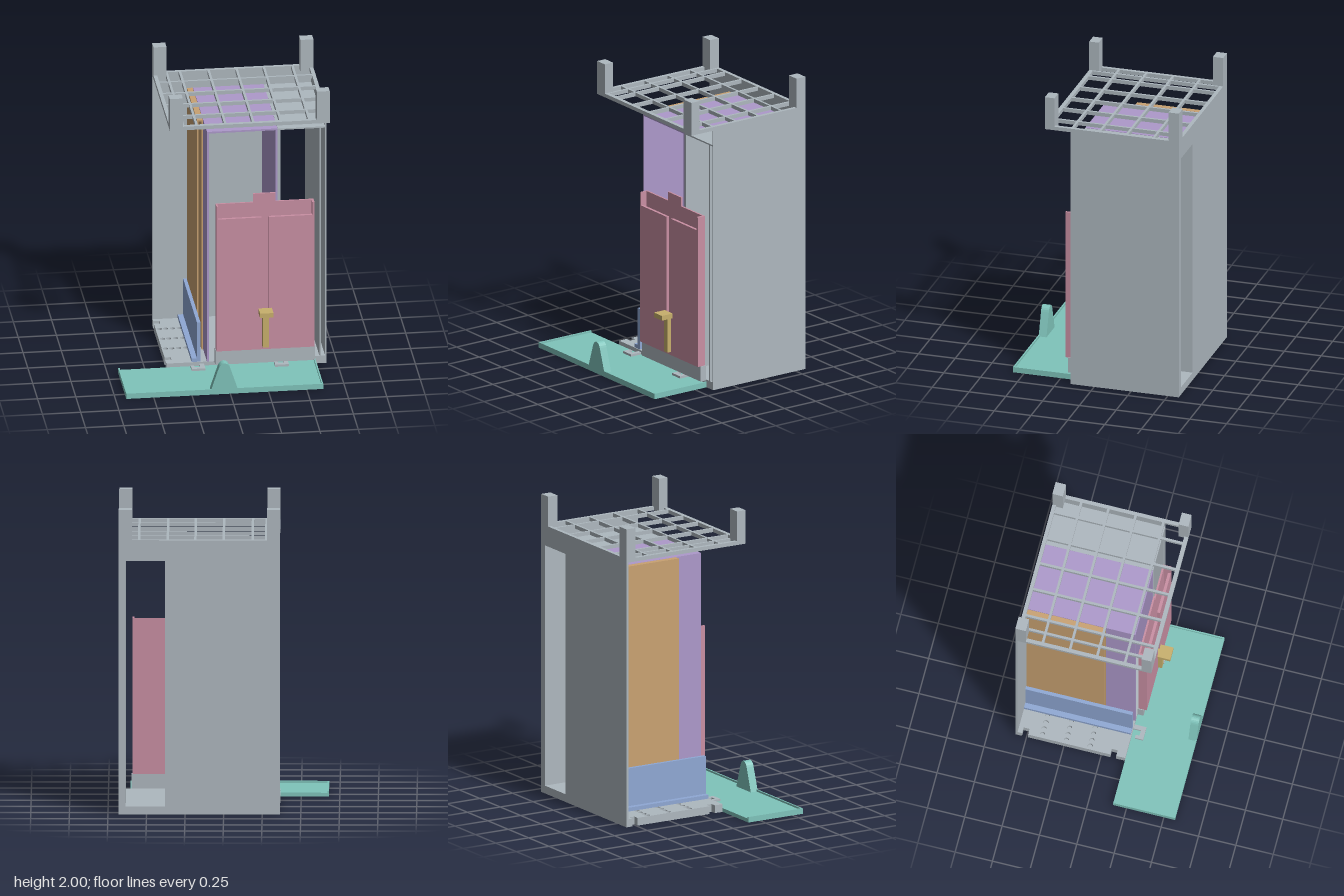
import * as THREE from 'three';

const mat = (name, color) => {
  const m = new THREE.MeshStandardMaterial({ color });
  m.name = name;
  return m;
};

export function createModel() {
  const grey = mat('grey', 0xaeb8bf), pink = mat('pink', 0xc98fa3), teal = mat('teal', 0x7fc4bb),
    purple = mat('purple', 0xad99cb), orange = mat('orange', 0xc9a272),
    blue = mat('blue', 0x8fa8d4), yellow = mat('yellow', 0xc8b06c);
  const model = new THREE.Group();
  model.name = 'cabinet';

  const group = (name) => {
    const g = new THREE.Group();
    g.name = name;
    model.add(g);
    return g;
  };
  // Box given by its extents on each axis
  const box = (parent, name, m, [x0, x1], [y0, y1], [z0, z1]) => {
    const mesh = new THREE.Mesh(new THREE.BoxGeometry(x1 - x0, y1 - y0, z1 - z0), m);
    mesh.position.set((x0 + x1) / 2, (y0 + y1) / 2, (z0 + z1) / 2);
    mesh.name = name;
    parent.add(mesh);
    return mesh;
  };
  const polygon = (pts) => new THREE.Shape(pts.map(([x, y]) => new THREE.Vector2(x, y)));
  // Upright extrusion of a shape in the front plane
  const extrude = (parent, name, m, shape, z0, z1) => {
    const geo = new THREE.ExtrudeGeometry(shape, { depth: z1 - z0, bevelEnabled: false, curveSegments: 10 });
    const mesh = new THREE.Mesh(geo, m);
    mesh.position.z = z0;
    mesh.name = name;
    parent.add(mesh);
    return mesh;
  };
  // Flat extrusion: shape coordinates are (x, -z), raised from y0 to y1
  const slab = (parent, name, m, shape, y0, y1) => {
    const mesh = extrude(parent, name, m, shape, 0, y1 - y0);
    mesh.rotation.x = -Math.PI / 2;
    mesh.position.set(0, y0, 0);
    return mesh;
  };

  // Floor with edge notches and blind peg holes
  const floor = group('floor');
  const outline = () => polygon([
    [-0.365, -0.16], [0.68, -0.16], [0.68, 0.575], [-0.365, 0.575],
    [-0.365, 0.53], [-0.325, 0.53], [-0.325, 0.49], [-0.365, 0.49],
    [-0.365, -0.06], [-0.325, -0.06], [-0.325, -0.1], [-0.365, -0.1],
  ]);
  slab(floor, 'floorBase', grey, outline(), 0, 0.03);
  const top = outline();
  for (const z of [-0.4, -0.24, -0.08]) {
    for (const x of [-0.34, -0.3, -0.255, -0.21]) {
      const hole = new THREE.Path();
      hole.absarc(x, -z, 0.017, 0, Math.PI * 2, true);
      top.holes.push(hole);
    }
  }
  slab(floor, 'floorTop', grey, top, 0.03, 0.052);

  // Hooks joining the floor to the tray
  for (const x of [-0.21, 0.335]) {
    const hook = polygon([
      [x, -0.24], [x + 0.09, -0.24], [x + 0.09, -0.16], [x + 0.06, -0.16],
      [x + 0.06, -0.21], [x + 0.022, -0.21], [x + 0.022, -0.185], [x, -0.185],
    ]);
    slab(floor, 'floorHook', grey, hook, -0.0, 0.04);
  }

  // Back wall with a tall slot, and the outer side wall
  const shell = group('shell');
  const back = polygon([[-0.365, 0.05], [0.68, 0.05], [0.68, 1.8], [-0.365, 1.8]]);
  back.holes.push(polygon([[0.38, 0.052], [0.38, 1.665], [0.635, 1.665], [0.635, 0.052]]));
  extrude(shell, 'backWall', grey, back, -0.575, -0.56);
  box(shell, 'sideWall', grey, [0.672, 0.68], [0.05, 1.8], [-0.575, 0.16]);

  // Tunnel behind the slot
  box(shell, 'tunnelInnerWall', grey, [0.362, 0.38], [0.05, 1.675], [-0.56, 0.16]);
  box(shell, 'tunnelOuterWall', grey, [0.635, 0.645], [0.05, 1.675], [-0.56, 0.16]);
  box(shell, 'tunnelCeiling', grey, [0.38, 0.672], [1.665, 1.675], [-0.56, 0.16]);

  // Upside-down U channels
  const channel = (name, m, x0, x1, z1, t) => {
    const shape = polygon([
      [x0, 0.052], [x0 + t, 0.052], [x0 + t, 1.677 - t], [x1 - t, 1.677 - t],
      [x1 - t, 0.052], [x1, 0.052], [x1, 1.677], [x0, 1.677],
    ]);
    extrude(model, name, m, shape, -0.56, z1);
  };
  channel('wideChannel', purple, -0.1, 0.361, 0.16, 0.012);
  channel('narrowChannel', orange, -0.14, -0.102, -0.035, 0.009);

  // Angle guide
  extrude(model, 'angleGuide', blue, polygon([
    [-0.2, 0.052], [-0.142, 0.052], [-0.142, 0.33], [-0.165, 0.33], [-0.165, 0.077], [-0.2, 0.077],
  ]), -0.56, 0.155);

  // Roof grid and corner posts
  const roof = group('roof');
  const X = [-0.365, 0.68], Z = [-0.575, 0.335], Y = [1.775, 1.8];
  for (const [a, b] of [[-0.365, -0.34], [0.655, 0.68]]) box(roof, 'roofEdge', grey, [a, b], Y, Z);
  for (const [a, b] of [[-0.575, -0.55], [0.308, 0.335]]) box(roof, 'roofEdge', grey, X, Y, [a, b]);
  for (const x of [-0.275, -0.187, 0, 0.183, 0.362, 0.548]) {
    box(roof, 'roofBar', grey, [x - 0.008, x + 0.008], Y, Z);
  }
  for (const z of [-0.397, -0.215, -0.033, 0.153]) {
    box(roof, 'roofCrossBar', grey, X, Y, [z - 0.008, z + 0.008]);
  }
  for (const x of [[-0.365, -0.28], [0.595, 0.68]]) {
    for (const z of [[-0.575, -0.505], [0.27, 0.335]]) box(roof, 'cornerPost', grey, x, [1.775, 2], z);
  }

  // Hollow door, open at the top with a T-shaped recess in front
  const door = group('door');
  box(door, 'doorSill', grey, [-0.05, 0.6], [0.045, 0.147], [0.16, 0.202]);
  extrude(door, 'doorBack', pink, polygon([
    [-0.045, 0.147], [0.595, 0.147], [0.595, 1.17], [0.345, 1.17],
    [0.345, 1.23], [0.2, 1.23], [0.2, 1.17], [-0.045, 1.17],
  ]), 0.165, 0.177);
  box(door, 'doorSide', pink, [-0.045, -0.035], [0.147, 1.17], [0.177, 0.222]);
  box(door, 'doorSide', pink, [0.58, 0.595], [0.147, 1.17], [0.177, 0.222]);
  box(door, 'doorBottom', pink, [-0.035, 0.58], [0.147, 0.167], [0.177, 0.222]);
  for (const x of [[-0.035, 0.25], [0.297, 0.58]]) box(door, 'doorFront', pink, x, [0.167, 1.08], [0.203, 0.222]);

  // Sliding handle
  const handle = group('handle');
  box(handle, 'handleSlider', yellow, [-0.03, 0.576], [0.168, 0.405], [0.178, 0.2]);
  box(handle, 'handleStem', yellow, [0.254, 0.294], [0.168, 0.41], [0.2, 0.247]);
  box(handle, 'handleGrip', yellow, [0.228, 0.316], [0.405, 0.437], [0.222, 0.308]);

  // Front tray with thin rims and a rounded stop
  const tray = group('tray');
  box(tray, 'trayBase', teal, [-0.68, 0.607], [0, 0.025], [0.16, 0.575]);
  box(tray, 'trayFrontRim', teal, [-0.68, 0.607], [0.025, 0.037], [0.565, 0.575]);
  for (const x of [-0.68, 0.597]) box(tray, 'trayEndRim', teal, [x, x + 0.01], [0.025, 0.037], [0.16, 0.565]);
  const stop = new THREE.Shape();
  stop.moveTo(-0.128, 0.025);
  stop.lineTo(0.05, 0.025);
  stop.lineTo(-0.001, 0.18);
  stop.bezierCurveTo(-0.015, 0.228, -0.062, 0.228, -0.077, 0.18);
  extrude(tray, 'trayStop', teal, stop, 0.522, 0.575);

  return model;
}
